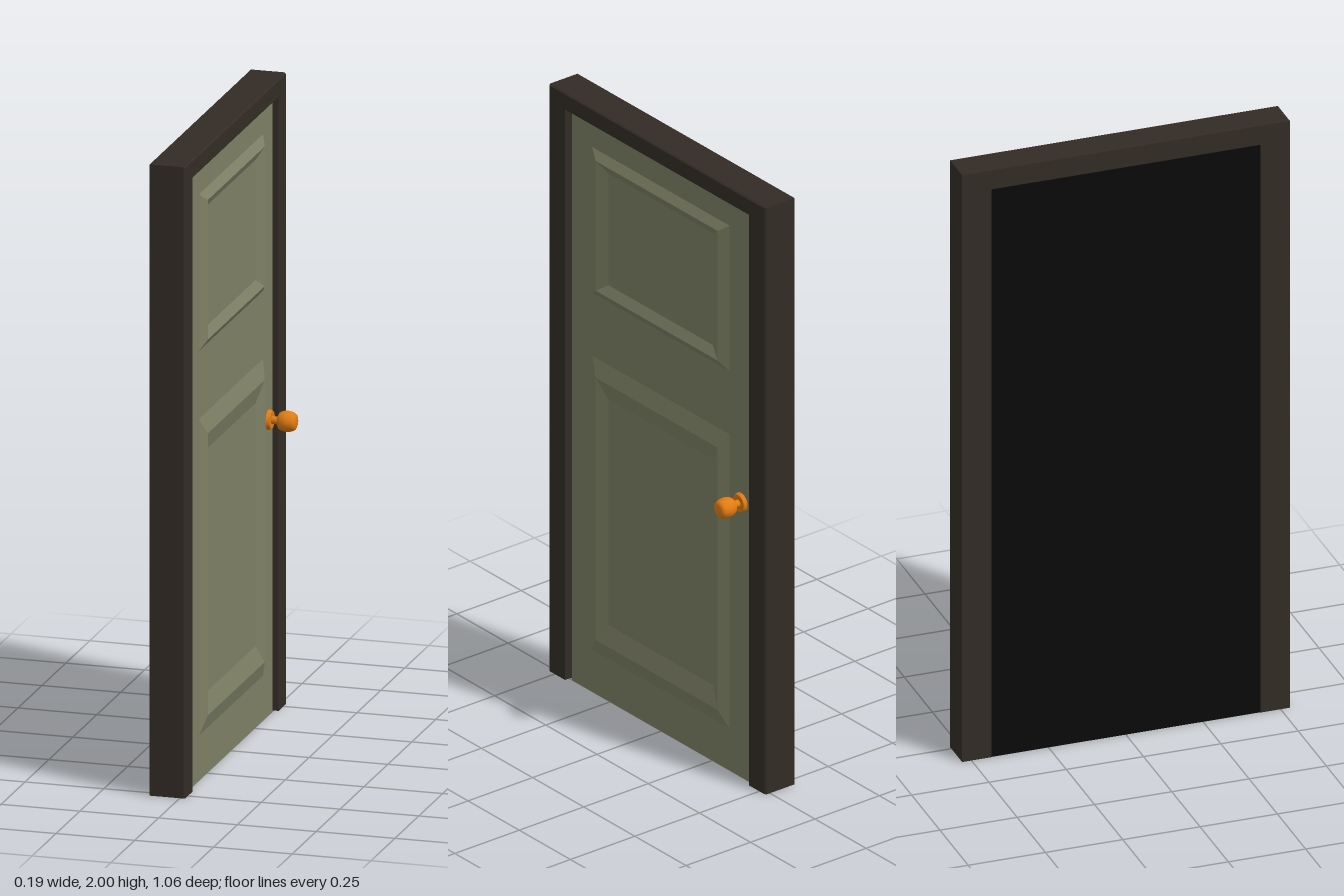
import * as THREE from 'three';

const paint = (color) => new THREE.MeshStandardMaterial({ color });

// Sweeps a profile of [inset, x] points along mitred corners in the z-y plane.
// Each corner is [z, y, dz, dy]: its position and how far it moves per unit of inset.
function sweep(corners, profile, loop) {
  const pos = [];
  const at = ([z, y, dz, dy], [t, x]) => [x, y + dy * t, z + dz * t];
  const tri = (...points) => points.forEach((p) => pos.push(...p));
  const n = corners.length;
  for (let i = 0; i < (loop ? n : n - 1); i++) {
    const c = corners[i], d = corners[(i + 1) % n];
    for (let j = 0; j < profile.length - 1; j++) {
      const p = profile[j], q = profile[j + 1];
      tri(at(c, p), at(d, p), at(d, q));
      tri(at(c, p), at(d, q), at(c, q));
    }
  }
  // Close the two feet of an open sweep
  if (!loop) {
    const a = corners[0], b = corners[n - 1];
    for (let j = 1; j < profile.length - 2; j++) {
      tri(at(a, profile[0]), at(a, profile[j]), at(a, profile[j + 1]));
      tri(at(b, profile[0]), at(b, profile[j + 1]), at(b, profile[j]));
    }
  }
  const g = new THREE.BufferGeometry();
  g.setAttribute('position', new THREE.Float32BufferAttribute(pos, 3));
  g.computeVertexNormals();
  return g;
}

export function createModel() {
  const model = new THREE.Group();
  model.name = 'door';
  const brown = paint(0x332c25), green = paint(0x7d8065);
  const black = paint(0x0a0a0a), orange = paint(0xe07c14);

  const add = (name, geometry, material, parent = model) => {
    const mesh = new THREE.Mesh(geometry, material);
    mesh.name = name;
    parent.add(mesh);
    return mesh;
  };

  // Frame: two jambs and a slimmer lintel, with a softened front edge
  const arch = [[-0.53, 0, 1, 0], [-0.53, 2, 1, -0.68], [0.53, 2, -1, -0.68], [0.53, 0, -1, 0]];
  add('frame', sweep(arch, [
    [0, -0.095], [0, 0.012], [0.005, 0.017], [0.08, 0.017],
    [0.082, -0.01], [0.095, -0.01], [0.095, -0.095], [0, -0.095],
  ]), brown);

  // Dark seal between frame and door
  add('seal', sweep(arch, [[0.081, -0.009], [0.095, -0.009]]), black);

  // Door slab with a dark back
  add('slab', new THREE.BoxGeometry(0.092, 1.935, 0.87).translate(-0.044, 0.968, 0), green);
  add('backPanel', new THREE.BoxGeometry(0.004, 1.935, 0.87).translate(-0.092, 0.968, 0), black);

  // Raised mouldings: a ridge around each panel
  const ridge = [[0, 0.001], [0.04, 0.019], [0.083, 0.003]];
  const moulding = (name, bottom, top, dy) => {
    const w = 0.338;
    add(name, sweep([
      [w, bottom, -1, dy], [-w, bottom, 1, dy], [-w, top, 1, -dy], [w, top, -1, -dy],
    ], ridge, true), green);
  };
  moulding('upperMoulding', 1.36, 1.86, 0.72);
  moulding('lowerMoulding', 0.14, 1.15, 1.45);

  // Knob: rose, stem and barrel-shaped grip turned about the x axis
  const knob = new THREE.Group();
  knob.name = 'knob';
  knob.position.set(0, 0.938, -0.392);
  knob.rotation.z = -Math.PI / 2;
  model.add(knob);
  add('rose', new THREE.CylinderGeometry(0.028, 0.032, 0.012, 24).translate(0, 0.008, 0), orange, knob);
  add('stem', new THREE.CylinderGeometry(0.012, 0.012, 0.04, 20).translate(0, 0.02, 0), orange, knob);
  const grip = new THREE.SplineCurve([
    [0.001, 0.033], [0.018, 0.034], [0.027, 0.04], [0.032, 0.055],
    [0.032, 0.068], [0.028, 0.083], [0.019, 0.091], [0.001, 0.093],
  ].map(([r, h]) => new THREE.Vector2(r, h)));
  add('grip', new THREE.LatheGeometry(grip.getPoints(24), 28), orange, knob);

  return model;
}
